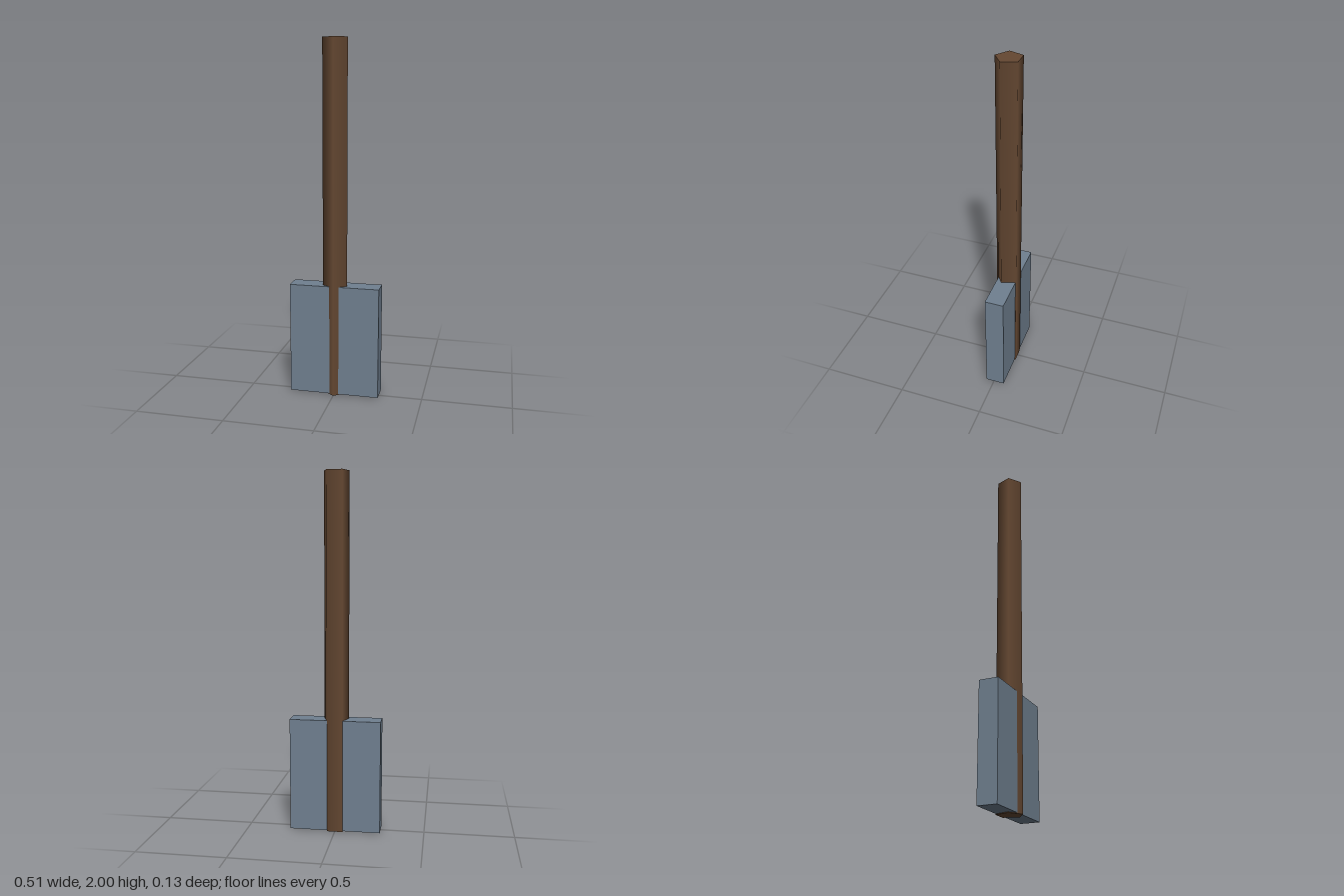
import * as THREE from 'three';

export function createModel() {
  const group = new THREE.Group();
  const add = (name, geometry, color, x, y, z) => {
    const mesh = new THREE.Mesh(geometry, new THREE.MeshStandardMaterial({ color }));
    mesh.name = name;
    mesh.position.set(x, y, z);
    group.add(mesh);
  };

  // five-sided shaft, smooth shaded, one corner to the front
  add('handle', new THREE.CylinderGeometry(0.073, 0.073, 2, 5), 0x654832, 0, 1, -0.008);

  // flat blade around the lower end of the shaft
  const bottom = 0.004, top = 0.64, back = -0.063, front = 0.046;
  add('blade', new THREE.BoxGeometry(0.51, top - bottom, front - back), 0x708090,
    0, (top + bottom) / 2, (front + back) / 2);

  return group;
}
